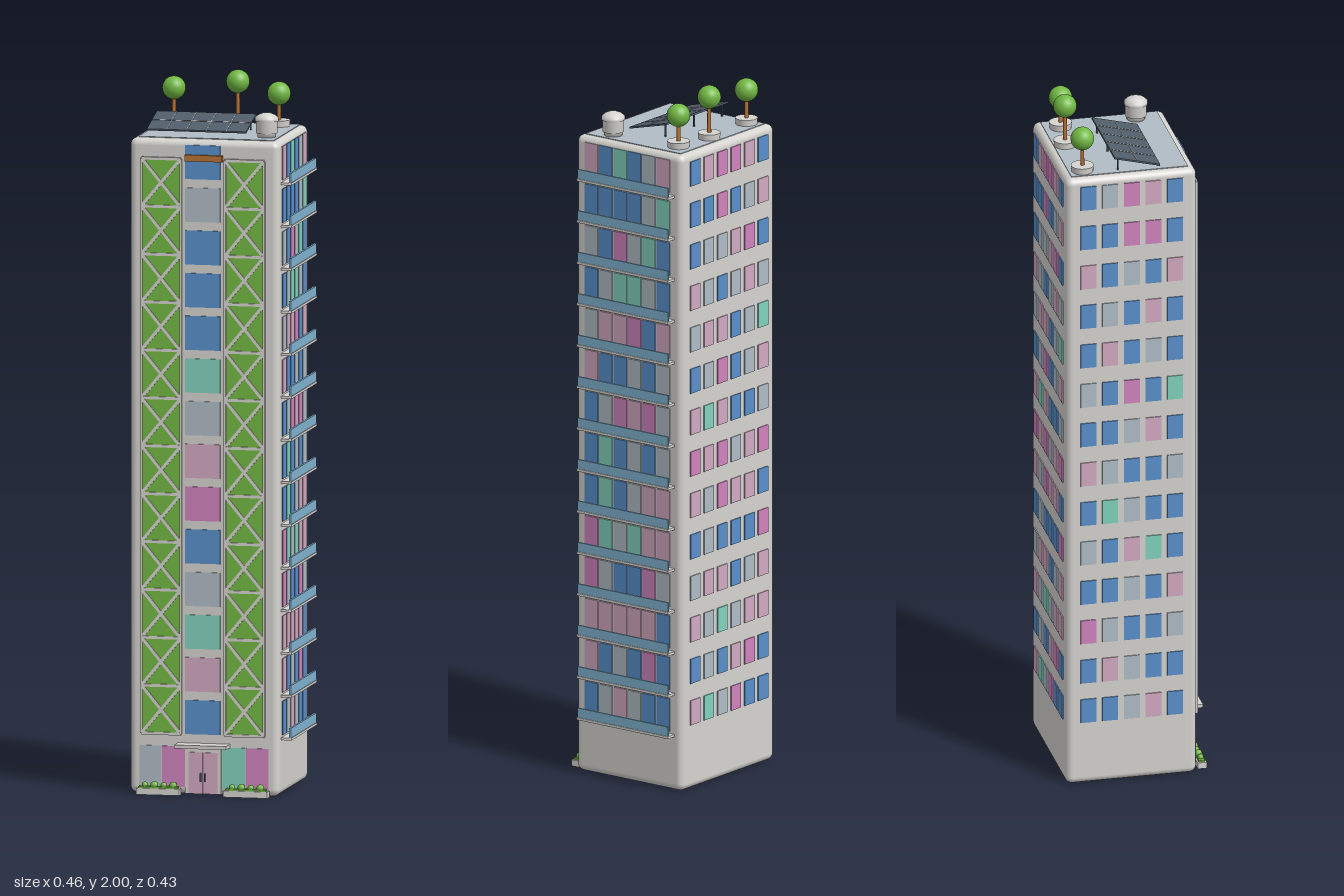
import * as THREE from 'three';
import { RoundedBoxGeometry } from 'three/addons/geometries/RoundedBoxGeometry.js';

const mat = (name, color) => {
  const m = new THREE.MeshStandardMaterial({ color });
  m.name = name;
  return m;
};

export function createModel() {
  const M = {
    wall: mat('wall', 0xd6d4d0), leaf: mat('leaf', 0x72b843), blue: mat('blueGlass', 0x5a90cc),
    mint: mat('mintGlass', 0x82d2bd), magenta: mat('magentaGlass', 0xd084be),
    pink: mat('pinkGlass', 0xd2aac2), grey: mat('greyGlass', 0xb0bcc6),
    panel: mat('solarPanel', 0x515d6a), wood: mat('wood', 0xb87333), rail: mat('railGlass', 0x82b4d2),
  };
  const GLASS = { b: M.blue, m: M.mint, k: M.magenta, p: M.pink, g: M.grey };
  const X0 = -0.23, X1 = 0.198, Z0 = -0.213, Z1 = 0.162, TOP = 1.845;
  const CX = (X0 + X1) / 2, CZ = (Z0 + Z1) / 2;
  const FLOORS = 14, STEP = 0.1203;

  const root = new THREE.Group();
  root.name = 'towerBlock';
  const group = (name, parent = root) => {
    const g = new THREE.Group();
    g.name = name;
    parent.add(g);
    return g;
  };
  const add = (parent, name, geo, m, x, y, z) => {
    const mesh = new THREE.Mesh(geo, m);
    mesh.name = name;
    mesh.position.set(x, y, z);
    parent.add(mesh);
    return mesh;
  };
  // Box given by its extents
  const box = (parent, name, m, x0, x1, y0, y1, z0, z1) =>
    add(parent, name, new THREE.BoxGeometry(x1 - x0, y1 - y0, z1 - z0), m,
      (x0 + x1) / 2, (y0 + y1) / 2, (z0 + z1) / 2);

  // Body with soft edges, and roof surface
  add(root, 'body', new RoundedBoxGeometry(X1 - X0, TOP, Z1 - Z0, 4, 0.02), M.wall, CX, TOP / 2, CZ);
  box(root, 'roofSurface', M.grey, -0.208, 0.178, TOP - 0.004, TOP + 0.002, -0.193, 0.141);

  // Window rows, listed from the top floor down
  const RIGHT = ['pbmbgp', 'bbbbgm', 'gbkgmb', 'bgmmgb', 'gppkbp', 'pbbgbg', 'bgkpkg',
    'bmbgbg', 'bmbgpp', 'kmgmpp', 'kgbbkg', 'pppppb', 'pbgbkb', 'bgpgbb'];
  const BACK = ['bpkkpb', 'bbkbgp', 'bggpkb', 'pgbgpg', 'gppbgm', 'bgkbgp', 'pmpbbg',
    'kpkgpk', 'pgkppb', 'bgbbbk', 'gppbgp', 'pgmgpp', 'bgbpkb', 'pmgkbb'];
  const LEFT = ['bgkpb', 'bbkkb', 'pbgbp', 'bgbpb', 'bpbgb', 'gbkbm', 'bbgpb',
    'pgbbg', 'bmgbb', 'gbpmb', 'bbgbp', 'kgbbg', 'bpgbb', 'bbgpb'];
  const windows = (name, rows, place, pitch, w, sill, h) => {
    const g = group(name);
    rows.forEach((row, r) => [...row].forEach((c, i) => {
      const y = sill + (FLOORS - 1 - r) * STEP + h / 2;
      const u = (i - (row.length - 1) / 2) * pitch;
      const pane = add(g, 'window', new THREE.BoxGeometry(w, h, 0.006), GLASS[c], 0, y, 0);
      place(pane, u);
    }));
  };
  windows('leftSideWindows', RIGHT, (p, u) => {
    p.rotation.y = Math.PI / 2;
    p.position.x = X1; p.position.z = -0.022 - u;
  }, 0.0505, 0.046, 0.17, 0.095);
  windows('backWindows', BACK, (p, u) => {
    p.position.x = CX - u; p.position.z = Z0;
  }, 0.062, 0.045, 0.187, 0.071);
  windows('rightSideWindows', LEFT, (p, u) => {
    p.rotation.y = Math.PI / 2;
    p.position.x = X0; p.position.z = CZ + u;
  }, 0.062, 0.045, 0.187, 0.071);
  windows('frontWindows', [...'bgbbbmgpkbgmpb'], (p) => {
    p.position.x = -0.02; p.position.z = Z1;
  }, 0, 0.1, 0.17, 0.096);

  // Balconies: slab with a glass rail on the outer edge
  for (let i = 0; i < FLOORS; i++) {
    const y = 0.157 + i * STEP, b = group('balcony');
    box(b, 'balconySlab', M.wall, X1 - 0.005, 0.228, y, y + 0.007, -0.187, 0.135);
    box(b, 'balconyRail', M.rail, 0.22, 0.226, y + 0.007, y + 0.034, -0.185, 0.133);
  }

  // Green walls with crossed lattice
  const Y0 = 0.17, Y1 = 1.79, CELLS = 12, ch = (Y1 - Y0) / CELLS;
  for (const [x0, x1] of [[-0.194, -0.082], [0.044, 0.156]]) {
    const g = group('greenWall');
    const cx = (x0 + x1) / 2, w = x1 - x0;
    box(g, 'climbingPlants', M.leaf, x0, x1, Y0, Y1, Z1 - 0.003, Z1 + 0.005);
    for (const x of [x0, x1]) box(g, 'latticePost', M.wall, x - 0.003, x + 0.003, Y0, Y1, Z1, Z1 + 0.01);
    for (let i = 0; i <= CELLS; i++) {
      const y = Y0 + i * ch;
      box(g, 'latticeRung', M.wall, x0, x1, y - 0.004, y + 0.004, Z1, Z1 + 0.009);
      if (i === CELLS) continue;
      for (const s of [-1, 1]) {
        const bar = add(g, 'latticeBrace', new THREE.BoxGeometry(0.009, Math.hypot(w, ch) - 0.006, 0.004),
          M.wall, cx, y + ch / 2, Z1 + 0.006);
        bar.rotation.z = s * Math.atan2(w, ch);
      }
    }
  }
  box(root, 'woodenLintel', M.wood, -0.07, 0.037, 1.785, 1.803, Z1 - 0.002, 0.174);

  // Entrance: shop windows, framed double door, canopy
  const e = group('entrance');
  for (const [x0, x1, m] of [[-0.2, -0.138, M.grey], [-0.136, -0.07, M.magenta],
    [0.036, 0.101, M.mint], [0.103, 0.168, M.magenta]])
    box(e, 'shopWindow', m, x0, x1, 0.02, 0.135, Z1 - 0.003, Z1 + 0.003);
  box(e, 'doorFrame', M.wall, -0.07, 0.034, 0.003, 0.13, Z1 - 0.003, Z1 + 0.006);
  for (const s of [-1, 1]) {
    const c = -0.018 + s * 0.021;
    box(e, 'doorLeaf', M.pink, c - 0.0205, c + 0.0205, 0.004, 0.12, Z1, Z1 + 0.009);
    const h = -0.018 + s * 0.006;
    box(e, 'doorHandle', M.panel, h - 0.002, h + 0.002, 0.038, 0.062, Z1 + 0.008, Z1 + 0.014);
  }
  box(e, 'canopy', M.wall, -0.091, 0.058, 0.135, 0.145, Z1 - 0.005, 0.211);

  // Planters with bushes
  for (const [x0, x1] of [[-0.203, -0.08], [0.046, 0.172]]) {
    const g = group('planter');
    box(g, 'planterBox', M.wall, x0, x1, 0, 0.018, 0.17, 0.196);
    box(g, 'planterHedge', M.leaf, x0 + 0.005, x1 - 0.005, 0.016, 0.023, 0.174, 0.192);
    for (let i = 0; i < 4; i++)
      add(g, 'bush', new THREE.SphereGeometry(0.009 + 0.002 * (i % 2), 14, 10), M.leaf,
        x0 + 0.022 + i * 0.027, 0.026, 0.183);
  }

  // Roof trees in round pots
  for (const [x, y, z] of [[-0.174, 1.945, -0.154], [0.007, 1.967, -0.162], [0.128, 1.939, -0.147]]) {
    const g = group('roofTree');
    add(g, 'pot', new THREE.CylinderGeometry(0.032, 0.03, 0.02, 24), M.wall, x, TOP + 0.01, z);
    add(g, 'trunk', new THREE.CylinderGeometry(0.005, 0.006, y - TOP, 10), M.wood, x, (y + TOP) / 2, z);
    add(g, 'crown', new THREE.SphereGeometry(0.033, 24, 16), M.leaf, x, y, z);
  }

  // Water tank with domed lid
  const tank = [[0, 0], [0.026, 0], [0.026, 0.012], [0.03, 0.013], [0.03, 0.046], [0.033, 0.047],
    [0.033, 0.056], [0.024, 0.064], [0.012, 0.069], [0, 0.07]].map(([r, y]) => new THREE.Vector2(r, y));
  add(root, 'waterTank', new THREE.LatheGeometry(tank, 28), M.wall, 0.142, TOP, 0.072);

  // Tilted solar array: panels, seams and rear legs
  const solar = group('solarArray');
  const tilt = group('solarTilt', solar);
  tilt.position.set(-0.061, 1.872, -0.003);
  tilt.rotation.x = Math.atan2(0.033, 0.13);
  box(tilt, 'solarSheet', M.panel, -0.142, 0.142, -0.003, 0.002, -0.067, 0.067);
  for (let i = 1; i < 5; i++) {
    const x = -0.142 + i * 0.0568;
    box(tilt, 'solarSeam', M.wall, x - 0.0008, x + 0.0008, 0.001, 0.003, -0.067, 0.067);
  }
  box(tilt, 'solarSeam', M.wall, -0.142, 0.142, 0.001, 0.003, -0.0008, 0.0008);
  for (const x of [-0.19, -0.061, 0.068])
    box(solar, 'solarLeg', M.panel, x - 0.002, x + 0.002, TOP, 1.884, -0.058, -0.054);

  return root;
}
